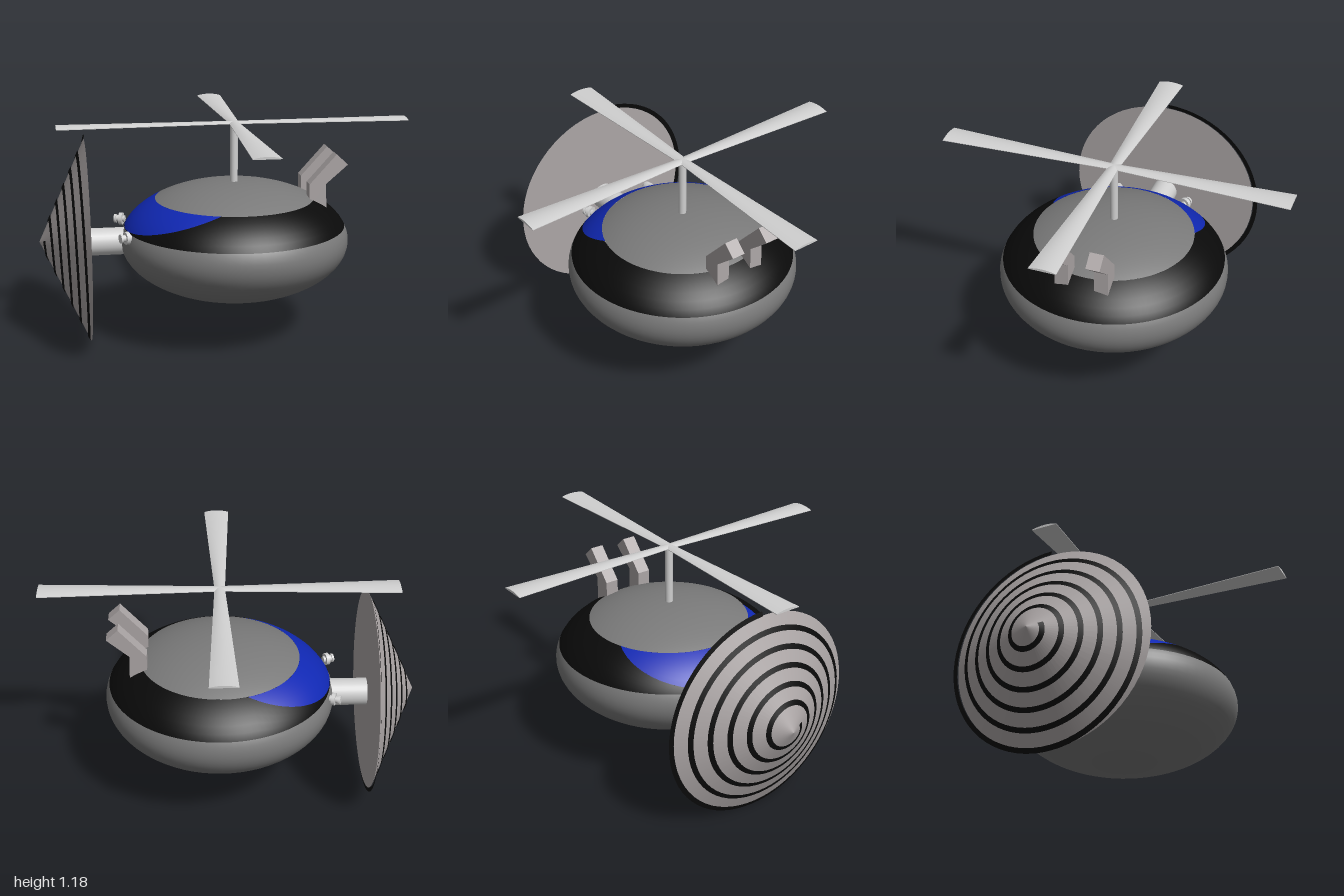
import * as THREE from 'three';

const mat = (name, color, side = THREE.FrontSide) => {
  const m = new THREE.MeshStandardMaterial({ color, side });
  m.name = name;
  return m;
};

export function createModel() {
  const hullGrey = mat('hull grey', 0x7a7a7a);
  const black = mat('black', 0x0a0a0a, THREE.DoubleSide);
  const blue = mat('blue', 0x1028b4);
  const warmGrey = mat('warm grey', 0xaca6a6);
  const lightGrey = mat('light grey', 0xd0d0d0);

  const model = new THREE.Group();
  const add = (name, geometry, material, parent = model) => {
    const mesh = new THREE.Mesh(geometry, material);
    mesh.name = name;
    parent.add(mesh);
    return mesh;
  };

  // Hull: a flattened ellipsoid split into painted zones
  const CX = 0.055, CY = 0.553, R = 0.62, H = 0.318;
  const thetaAt = (y) => Math.acos((y - CY) / H);
  const top = thetaAt(0.782), low = thetaAt(0.635);

  function hullPatch(from, to, a0, a1, cols, rows) {
    const pos = [], nor = [], idx = [];
    const n = new THREE.Vector3();
    for (let i = 0; i <= cols; i++) {
      const a = a0 + (a1 - a0) * i / cols;
      for (let j = 0; j <= rows; j++) {
        const t = THREE.MathUtils.lerp(from(a), to(a), j / rows);
        const x = Math.sin(t) * Math.cos(a), y = Math.cos(t), z = Math.sin(t) * Math.sin(a);
        pos.push(CX + R * x, CY + H * y, R * z);
        n.set(x / R, y / H, z / R).normalize();
        nor.push(n.x, n.y, n.z);
        if (i < cols && j < rows) {
          const p = i * (rows + 1) + j, q = p + rows + 1;
          idx.push(p, q, p + 1, q, q + 1, p + 1);
        }
      }
    }
    const g = new THREE.BufferGeometry();
    g.setAttribute('position', new THREE.Float32BufferAttribute(pos, 3));
    g.setAttribute('normal', new THREE.Float32BufferAttribute(nor, 3));
    g.setIndex(idx);
    return g;
  }

  // Lower edge of the blue crescent: a slanted plane cutting the hull
  const abovePlane = (a, t) =>
    CY + H * Math.cos(t) > 0.782 + 0.315 * (CX + R * Math.sin(t) * Math.cos(a) + 0.08);
  const blueEdge = (a) => {
    if (!abovePlane(a, top)) return top;
    let lo = top, hi = low;
    for (let k = 0; k < 24; k++) {
      const mid = (lo + hi) / 2;
      if (abovePlane(a, mid)) lo = mid; else hi = mid;
    }
    return lo;
  };
  const TAU = Math.PI * 2;
  const cut = Math.acos((-0.08 - CX) / (R * Math.sin(top)));
  add('hullTop', hullPatch(() => 0, () => top, 0, TAU, 64, 10), hullGrey);
  add('hullBottom', hullPatch(() => low, () => Math.PI, 0, TAU, 64, 20), hullGrey);
  add('hullBand', hullPatch(blueEdge, () => low, 0, TAU, 96, 5), black);
  add('hullCrescent', hullPatch(() => top, blueEdge, cut, TAU - cut, 48, 5), blue);

  // Rotor: mast and four arched blades widening to the tips
  const rotor = new THREE.Group();
  rotor.name = 'rotor';
  rotor.position.set(0.053, 0, 0);
  model.add(rotor);
  add('mast', new THREE.CylinderGeometry(0.021, 0.021, 0.36, 20).translate(0, 1.012, 0), lightGrey, rotor);
  const L = 0.945;
  const bladeGeo = new THREE.BoxGeometry(L, 1, 1, 8, 1, 10).translate(L / 2, 0, 0);
  const bp = bladeGeo.attributes.position;
  for (let i = 0; i < bp.count; i++) {
    const x = bp.getX(i), z = bp.getZ(i);
    const width = 0.055 + 0.085 * x / L;
    bp.setZ(i, z * width);
    bp.setY(i, bp.getY(i) > 0 ? 1.19 + 0.01 * (1 - 4 * z * z) : 1.187);
  }
  bladeGeo.computeVertexNormals();
  for (let k = 0; k < 4; k++) add('blade', bladeGeo, lightGrey, rotor).rotation.y = k * Math.PI / 2;

  // Boom joining the hull to the tail dish
  const DY = 0.57, DZ = -0.02;
  add('boom', new THREE.CylinderGeometry(0.074, 0.074, 0.28, 28)
    .rotateZ(Math.PI / 2).translate(-0.61, 0.555, -0.025), lightGrey);

  // Tail dish: a shallow cone pointing away from the hull
  const coneR = 0.542, coneH = 0.255;
  add('tailCone', new THREE.ConeGeometry(coneR, coneH, 64)
    .rotateZ(Math.PI / 2).translate(-0.745 - coneH / 2, DY, DZ), warmGrey);

  // Spiral ribbon wound over the cone
  const turns = 5.8, steps = 400, sp = [], si = [];
  for (let i = 0; i <= steps; i++) {
    const a = TAU * turns * i / steps;
    const r = 0.568 - 0.5 * i / steps;
    const shift = r / 0.568;
    for (const side of [-1, 1]) {
      const q = r + side * 0.0125;
      const y = q * Math.cos(a) - 0.015 * shift, z = -q * Math.sin(a) - 0.012 * shift;
      const x = -1 + coneH * Math.hypot(y, z) / coneR - 0.006;
      sp.push(Math.min(x, -0.745), DY + y, DZ + z);
    }
    if (i < steps) {
      const p = i * 2;
      si.push(p, p + 1, p + 2, p + 1, p + 3, p + 2);
    }
  }
  const spiral = new THREE.BufferGeometry();
  spiral.setAttribute('position', new THREE.Float32BufferAttribute(sp, 3));
  spiral.setIndex(si);
  spiral.computeVertexNormals();
  add('tailSpiral', spiral, black);

  // Pair of bent arms on the hull
  const profile = new THREE.Shape([
    [0.44, 0.74], [0.535, 0.7], [0.53, 0.87], [0.648, 0.972], [0.585, 1.03], [0.44, 0.87],
  ].map(([x, y]) => new THREE.Vector2(x, y)));
  const armGeo = new THREE.ExtrudeGeometry(profile, { depth: 0.074, bevelEnabled: false });
  for (const z of [0.071, -0.145]) add('bentArm', armGeo, warmGrey).position.z = z;

  // Two small knobs beside the boom, facing outwards
  for (const s of [-1, 1]) {
    const knob = new THREE.Group();
    knob.name = 'knob';
    knob.position.set(-0.535, 0.63, s * 0.2 - 0.008);
    knob.rotation.y = s * 0.33;
    model.add(knob);
    const disc = (name, r, len, x) => add(name,
      new THREE.CylinderGeometry(r, r, len, 16).rotateZ(Math.PI / 2).translate(x, 0, 0), lightGrey, knob);
    disc('knobBase', 0.034, 0.02, -0.012);
    disc('knobStem', 0.018, 0.06, -0.02);
    disc('knobCap', 0.024, 0.012, -0.044);
  }
  return model;
}
